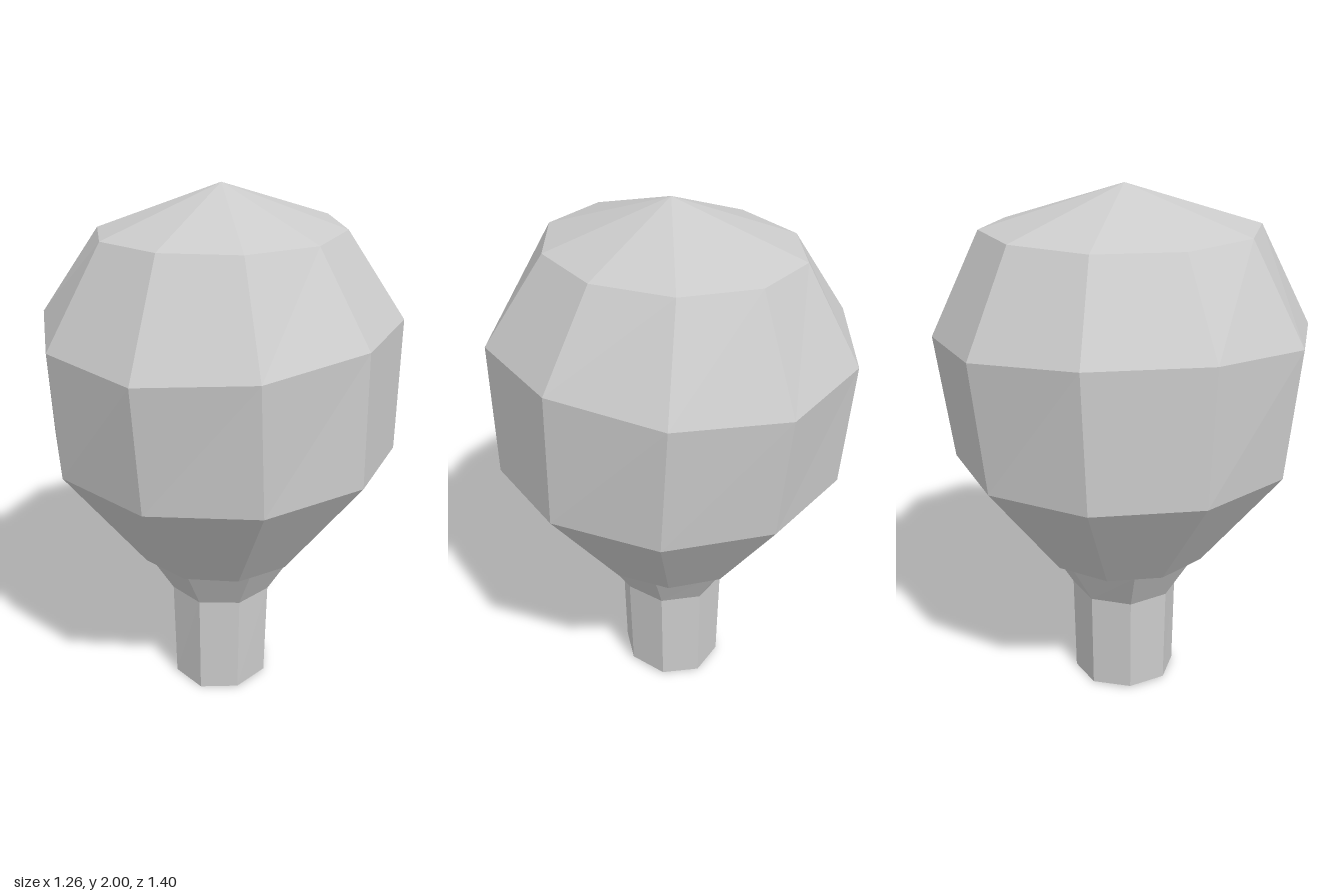
import * as THREE from 'three';

// Skin stacked elliptical rings (bottom to top) with flat facets.
// ring: y, rx, rz, lift (extra height toward the sides), dz (shift along z)
function loft(sides, rings) {
  const point = ({ y, rx, rz = rx, lift = 0, dz = 0 }, i) => {
    const a = ((i % sides) / sides) * Math.PI * 2;
    const s = Math.sin(a);
    return [s * rx, y + lift * s * s, Math.cos(a) * rz + dz];
  };
  const positions = [];
  for (let r = 0; r < rings.length - 1; r++) {
    const [low, high] = [rings[r], rings[r + 1]];
    for (let i = 0; i < sides; i++) {
      const a = point(low, i), b = point(low, i + 1);
      const c = point(high, i + 1), d = point(high, i);
      positions.push(...a, ...b, ...c);
      if (high.rx > 0) positions.push(...a, ...c, ...d);
    }
  }
  const geometry = new THREE.BufferGeometry();
  geometry.setAttribute('position', new THREE.Float32BufferAttribute(positions, 3));
  geometry.computeVertexNormals();
  return geometry;
}

export function createModel() {
  const group = new THREE.Group();
  group.name = 'lowPolyTree';
  const material = new THREE.MeshStandardMaterial({
    color: 0xcccccc, flatShading: true, side: THREE.DoubleSide,
  });
  const add = (name, geometry) => {
    const mesh = new THREE.Mesh(geometry, material);
    mesh.name = name;
    group.add(mesh);
  };

  // Ten-sided crown, open underneath and pointed on top
  add('crown', loft(10, [
    { y: 0.59, rx: 0.33, rz: 0.34 },
    { y: 1.0, rx: 0.66, rz: 0.645, lift: 0.03 },
    { y: 1.47, rx: 0.66, rz: 0.7, lift: 0.06 },
    { y: 1.848, rx: 0.44, rz: 0.507, lift: -0.01, dz: -0.007 },
    { y: 2.0, rx: 0 },
  ]));

  // Eight-sided hollow trunk, flaring into the crown
  add('trunk', loft(8, [
    { y: 0, rx: 0.195, rz: 0.205, lift: 0.01 },
    { y: 0.41, rx: 0.205, rz: 0.21 },
    { y: 0.595, rx: 0.315, rz: 0.32 },
  ]));

  return group;
}
